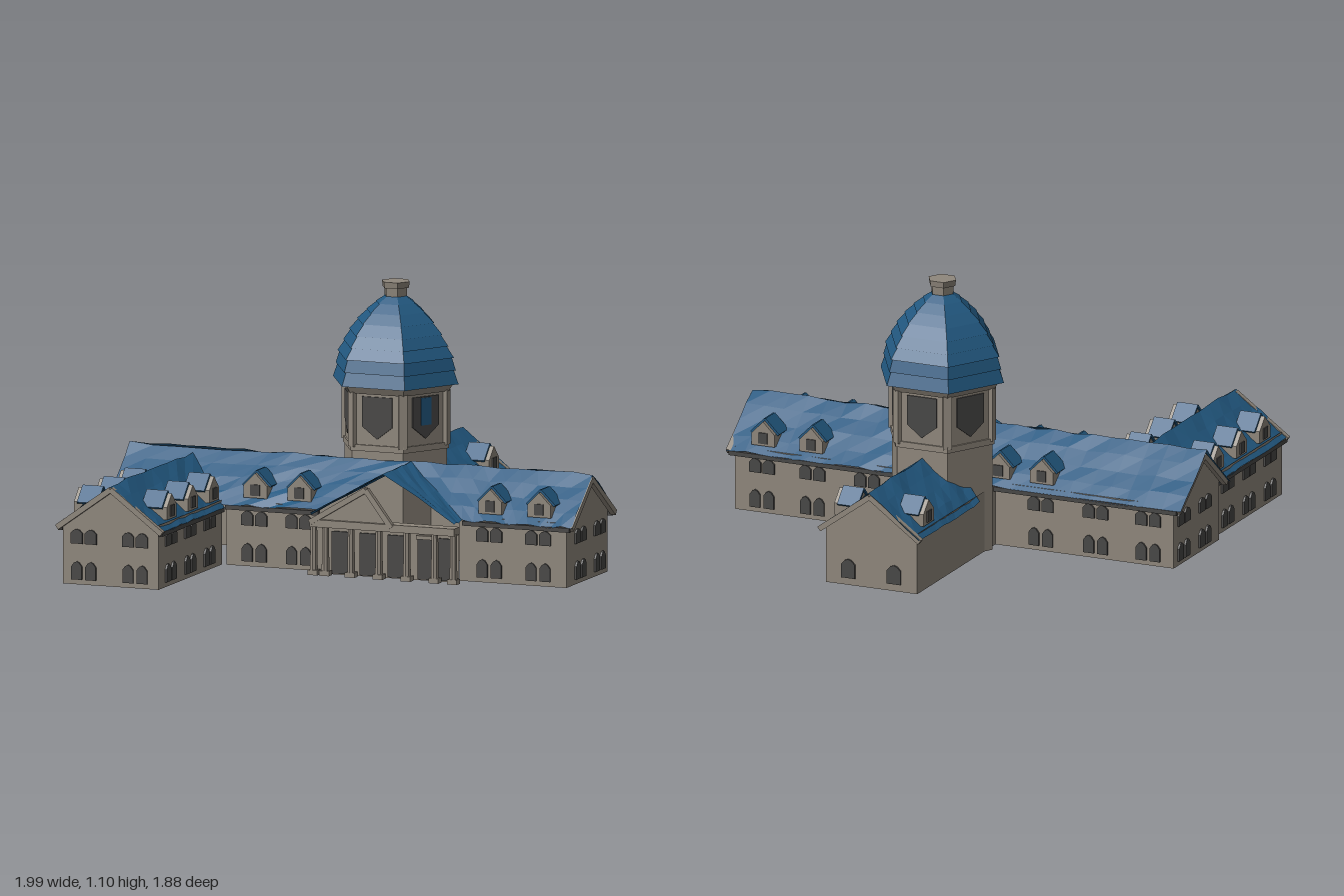
import * as THREE from 'three';

const mat = (name, color) => {
  const m = new THREE.MeshStandardMaterial({ color, flatShading: true, side: THREE.DoubleSide });
  m.name = name;
  return m;
};
const stone = mat('stone', 0x8f877c);
const slate = mat('blue slate', 0x225880);
const dark = mat('dark opening', 0x484746);

// repeatable noise from a position
const noise = (x, y, z) => {
  const s = Math.sin(Math.round(x * 1000) * 12.9898 + Math.round(y * 1000) * 78.233 + Math.round(z * 1000) * 37.719) * 43758.5453;
  return s - Math.floor(s) - 0.5;
};

export function createModel() {
  const root = new THREE.Group();
  root.name = 'domedHall';

  const add = (name, geo, material, parent = root) => {
    const mesh = new THREE.Mesh(geo, material);
    mesh.name = name;
    parent.add(mesh);
    return mesh;
  };

  const box = (name, material, w, h, d, x, y, z, parent = root) => {
    const m = add(name, new THREE.BoxGeometry(w, h, d), material, parent);
    m.position.set(x, y, z);
    return m;
  };

  // four-cornered sheet (a-b along the bottom, d-c along the top), slightly uneven
  const sheet = (name, material, a, b, c, d, nu = 1, nv = 1, rough = 0) => {
    const [A, B, C, D] = [a, b, c, d].map(p => new THREE.Vector3(...p));
    const geo = new THREE.PlaneGeometry(1, 1, nu, nv);
    const pos = geo.attributes.position, p = new THREE.Vector3(), q = new THREE.Vector3();
    for (let i = 0; i < pos.count; i++) {
      const u = pos.getX(i) + 0.5, v = pos.getY(i) + 0.5;
      p.lerpVectors(A, B, u);
      q.lerpVectors(D, C, u);
      p.lerp(q, v);
      pos.setXYZ(i, p.x, p.y + noise(p.x, p.y, p.z) * rough, p.z);
    }
    geo.computeVertexNormals();
    return add(name, geo, material);
  };
  const roof = (name, a, b, c, d, nu = 10) => sheet(name, slate, a, b, c, d, nu, 4, 0.012);
  const wall = (name, x0, z0, x1, z1, h = 0.26) =>
    sheet(name, stone, [x0, 0, z0], [x1, 0, z1], [x1, h, z1], [x0, h, z0]);

  // gable triangle with raking trim; trim follows the two roof edges
  const beam = (name, a, b, t, material = stone) => {
    const A = new THREE.Vector3(...a), B = new THREE.Vector3(...b);
    const m = add(name, new THREE.BoxGeometry(t, t, A.distanceTo(B)), material);
    m.position.copy(A).add(B).multiplyScalar(0.5);
    m.lookAt(B);
  };
  const gable = (name, a, b, apex, out) => {
    sheet(name, stone, a, b, apex, apex);
    const shift = p => [p[0] + out[0], p[1] - 0.012, p[2] + out[1]];
    beam(name + 'Trim', shift(a), shift(apex), 0.022);
    beam(name + 'Trim', shift(b), shift(apex), 0.022);
  };

  // arched window plate, ry turns it to face outwards
  const windowPlate = (x, y, z, ry, w = 0.05, h = 0.08) => {
    const s = new THREE.Shape();
    s.moveTo(-w / 2, 0).lineTo(w / 2, 0).lineTo(w / 2, h * 0.7);
    s.quadraticCurveTo(0, h * 1.25, -w / 2, h * 0.7);
    const m = add('window', new THREE.ExtrudeGeometry(s, { depth: 0.008, bevelEnabled: false, curveSegments: 4 }), dark);
    m.position.set(x, y, z);
    m.rotation.y = ry;
  };
  const windows = (x, z, ry) => {
    const dx = Math.cos(ry) * 0.03, dz = -Math.sin(ry) * 0.03;
    for (const s of [-1, 1]) {
      windowPlate(x + s * dx, 0.02, z + s * dz, ry, 0.045, 0.075);
      windowPlate(x + s * dx, 0.165, z + s * dz, ry, 0.05, 0.06);
    }
  };

  // dormer: stone gabled front, slate cover, dark light
  const dormer = (x, y, z, ry) => {
    const g = new THREE.Group();
    g.name = 'dormer';
    const s = new THREE.Shape([[-0.05, 0], [0.05, 0], [0.05, 0.05], [0, 0.1], [-0.05, 0.05]].map(p => new THREE.Vector2(...p)));
    const body = new THREE.ExtrudeGeometry(s, { depth: 0.1, bevelEnabled: false });
    add('dormerBody', body.translate(0, 0, -0.1), stone, g);
    for (const k of [-1, 1]) {
      const r = box('dormerRoof', slate, 0.085, 0.009, 0.09, k * 0.03, 0.077, -0.062, g);
      r.rotation.z = -k * Math.PI / 4;
    }
    box('dormerWindow', dark, 0.04, 0.045, 0.006, 0, 0.032, 0.002, g);
    g.position.set(x, y, z);
    g.rotation.y = ry;
    root.add(g);
  };

  const F = 0, B = Math.PI, L = Math.PI / 2, R = -Math.PI / 2;

  // main range walls, open behind the portico
  wall('mainFrontWall', -0.5, 0.26, -0.1, 0.26);
  wall('mainFrontWall', 0.5, 0.26, 0.96, 0.26);
  wall('mainBackWall', -0.96, -0.17, 0.96, -0.17);
  for (const s of [-1, 1]) {
    wall('mainEndWall', s * 0.96, -0.17, s * 0.96, 0.26, 0.25);
    gable('mainGable', [s * 0.96, 0.25, -0.18], [s * 0.96, 0.25, 0.27], [s * 0.96, 0.42, 0.06], [s * 0.022, 0]);
    for (const z of [-0.08, 0.12]) windows(s * 0.96, z, s * Math.PI / 2);
  }

  // main roof, notched where the portico roof joins
  const rl = [-1, 0.43, 0.06], rr = [0.99, 0.43, 0.06], join = [0.21, 0.43, 0.06];
  roof('mainRoofBack', [0.99, 0.245, -0.19], [-1, 0.245, -0.19], rl, rr, 24);
  roof('mainRoofFrontRight', [-1, 0.245, 0.28], [-0.1, 0.245, 0.28], join, rl, 12);
  roof('mainRoofFrontLeft', [0.52, 0.245, 0.28], [0.99, 0.245, 0.28], rr, join, 10);
  beam('mainBackEave', [-0.98, 0.235, -0.18], [0.98, 0.235, -0.18], 0.018, dark);
  beam('mainFrontEave', [-0.5, 0.235, 0.27], [-0.1, 0.235, 0.27], 0.018, dark);
  beam('mainFrontEave', [0.52, 0.235, 0.27], [0.98, 0.235, 0.27], 0.018, dark);
  for (const x of [-0.38, -0.19, 0.63, 0.84]) {
    dormer(x, 0.275, 0.255, F);
    dormer(x, 0.275, -0.165, B);
    windows(x, 0.26, F);
  }
  for (const x of [-0.85, -0.62, -0.38, 0.38, 0.62, 0.84]) windows(x, -0.17, B);

  // front wing
  wall('wingOuterWall', -0.93, 0.26, -0.93, 0.92);
  wall('wingInnerWall', -0.52, 0.26, -0.52, 0.92);
  wall('wingEndWall', -0.93, 0.92, -0.52, 0.92, 0.24);
  gable('wingGable', [-0.95, 0.24, 0.92], [-0.5, 0.24, 0.92], [-0.72, 0.405, 0.92], [0, 0.01]);
  const wf = [-0.72, 0.41, 0.94], wb = [-0.72, 0.41, 0.08];
  roof('wingRoofOuter', [-0.95, 0.235, 0.28], [-0.95, 0.235, 0.94], wf, wb);
  roof('wingRoofInner', [-0.5, 0.235, 0.94], [-0.5, 0.235, 0.28], wb, wf);
  for (const x of [-0.94, -0.51]) beam('wingEave', [x, 0.225, 0.28], [x, 0.225, 0.93], 0.018, dark);
  for (const z of [0.33, 0.55, 0.77]) {
    dormer(-0.925, 0.265, z, R);
    dormer(-0.525, 0.265, z, L);
  }
  for (const z of [0.4, 0.6, 0.8]) {
    windows(-0.93, z, R);
    windows(-0.52, z, L);
  }
  for (const x of [-0.84, -0.62]) windows(x, 0.92, F);

  // rear wing
  wall('rearWingRightWall', -0.18, -0.17, -0.18, -0.91, 0.25);
  wall('rearWingLeftWall', 0.22, -0.17, 0.22, -0.91, 0.25);
  wall('rearWingEndWall', -0.18, -0.91, 0.22, -0.91, 0.24);
  gable('rearGable', [-0.2, 0.235, -0.91], [0.24, 0.235, -0.91], [0.02, 0.395, -0.91], [0, -0.012]);
  const kf = [0.02, 0.405, -0.24], kb = [0.02, 0.405, -0.94];
  roof('rearRoofRight', [-0.2, 0.23, -0.94], [-0.2, 0.23, -0.36], kf, kb);
  roof('rearRoofLeft', [0.24, 0.23, -0.36], [0.24, 0.23, -0.94], kb, kf);
  dormer(-0.175, 0.26, -0.79, R);
  dormer(0.215, 0.26, -0.79, L);
  for (const x of [-0.08, 0.12]) windowPlate(x, 0.03, -0.91, B, 0.06, 0.08);

  // portico: open gabled roof, part pediment, colonnade
  const pf = [0.21, 0.43, 0.36];
  roof('porticoRoofRight', [-0.1, 0.245, 0.28], [-0.1, 0.245, 0.36], pf, join, 6);
  roof('porticoRoofLeft', [0.52, 0.245, 0.36], [0.52, 0.245, 0.28], join, pf, 6);
  gable('pediment', [-0.1, 0.225, 0.35], [0.25, 0.225, 0.35], [0.14, 0.37, 0.35], [0, 0.008]);
  box('entablature', stone, 0.62, 0.03, 0.06, 0.21, 0.21, 0.335);
  wall('porticoBackWall', -0.1, 0.31, 0.52, 0.31, 0.2);
  for (const x of [0.01, 0.13, 0.25, 0.38, 0.47]) {
    box('porticoRecess', dark, 0.07, 0.17, 0.008, x, 0.09, 0.314);
  }
  box('doorFrame', stone, 0.075, 0.015, 0.02, 0.38, 0.175, 0.32);
  for (const x of [-0.09, -0.04, 0.07, 0.19, 0.31, 0.43, 0.51]) {
    const c = add('column', new THREE.CylinderGeometry(0.014, 0.017, 0.2, 8), stone);
    c.position.set(x, 0.1, 0.345);
    box('columnBase', stone, 0.042, 0.02, 0.035, x, 0.01, 0.345);
  }

  // hexagonal tower
  const tower = new THREE.Group();
  tower.name = 'tower';
  tower.position.set(0.02, 0, -0.24);
  root.add(tower);
  const hex = (name, rt, rb, y0, y1, material, open = false) => {
    const m = add(name, new THREE.CylinderGeometry(rt, rb, y1 - y0, 6, 1, open, Math.PI / 6), material, tower);
    m.position.y = (y0 + y1) / 2;
  };
  hex('towerShaft', 0.22, 0.22, 0, 0.69, stone, true);
  hex('towerBand', 0.228, 0.228, 0.44, 0.465, stone);
  hex('towerCornice', 0.25, 0.228, 0.67, 0.705, stone);
  for (let i = 0; i < 6; i++) {
    const side = new THREE.Group();
    side.name = 'belfrySide';
    side.rotation.y = i * Math.PI / 3;
    tower.add(side);
    const o = new THREE.Shape([[-0.065, 0.54], [0, 0.49], [0.065, 0.54], [0.065, 0.66], [-0.065, 0.66]].map(p => new THREE.Vector2(...p)));
    const plate = add('belfryOpening', new THREE.ExtrudeGeometry(o, { depth: 0.006, bevelEnabled: false }), dark, side);
    plate.position.z = 0.19;
    if (i === 1) box('belfryLouvre', slate, 0.05, 0.11, 0.006, 0, 0.6, 0.197, side);
    const post = new THREE.Group();
    post.rotation.y = Math.PI / 6;
    side.add(post);
    box('belfryPost', stone, 0.035, 0.22, 0.02, 0, 0.565, 0.217, post);
  }

  // stepped hexagonal dome and lantern
  const tiers = [[0.27, 0.7], [0.258, 0.755], [0.25, 0.805], [0.226, 0.85], [0.2, 0.895], [0.166, 0.94], [0.126, 0.98], [0.085, 1.015], [0.05, 1.04]];
  const profile = [new THREE.Vector2(0.2, 0.7)];
  tiers.forEach(([r, y], i) => {
    profile.push(new THREE.Vector2(r, y));
    if (i < tiers.length - 1) profile.push(new THREE.Vector2(tiers[i + 1][0] - 0.01, tiers[i + 1][1] + 0.004));
  });
  add('dome', new THREE.LatheGeometry(profile, 6, Math.PI / 6), slate, tower);
  hex('lantern', 0.05, 0.046, 1.02, 1.085, stone);
  hex('lanternCap', 0.06, 0.056, 1.075, 1.1, stone);

  return root;
}
